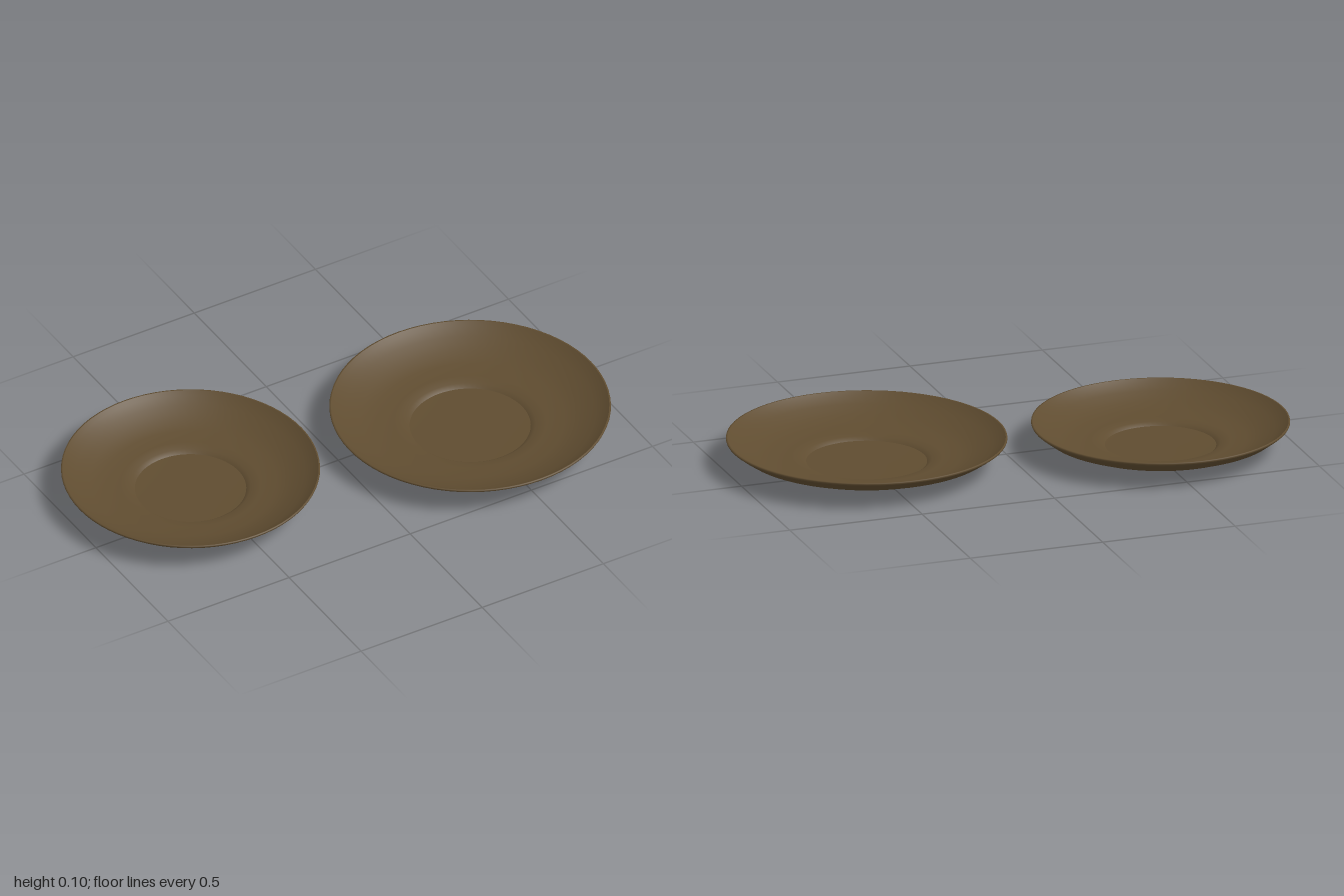
import * as THREE from 'three';

const bronze = new THREE.MeshStandardMaterial({ color: 0x5f4c30 });
bronze.name = 'dark bronze brown';

// Profiles as [radius, height] for a plate of radius 0.5; each section is smooth, joints stay crisp
const sections = {
  footBase: [[0, 0], [0.12, 0], [0.225, 0.002]],
  underside: [[0.225, 0.002], [0.232, 0.014], [0.27, 0.017], [0.335, 0.019], [0.39, 0.036], [0.45, 0.058], [0.485, 0.082], [0.498, 0.092]],
  lip: [[0.498, 0.092], [0.5, 0.096], [0.499, 0.1], [0.494, 0.1]],
  bowl: [[0.494, 0.1], [0.478, 0.088], [0.445, 0.068], [0.39, 0.046], [0.335, 0.03], [0.27, 0.026], [0.232, 0.022], [0.215, 0.01]],
  well: [[0.215, 0.01], [0.12, 0.007], [0, 0.006]],
};

function createPlate(name, radius, x, z) {
  const plate = new THREE.Group();
  plate.name = name;
  const scale = radius / 0.5;
  for (const [part, profile] of Object.entries(sections)) {
    const points = profile.map(([r, y]) => new THREE.Vector2(r * scale, y));
    const mesh = new THREE.Mesh(new THREE.LatheGeometry(points, 72), bronze);
    mesh.name = part;
    plate.add(mesh);
  }
  plate.position.set(x, 0, z);
  return plate;
}

export function createModel() {
  const model = new THREE.Group();
  model.name = 'plates';
  model.add(
    createPlate('largePlate', 0.5, 0.5, 0.075),
    createPlate('smallPlate', 0.46, -0.54, -0.117),
  );
  return model;
}
